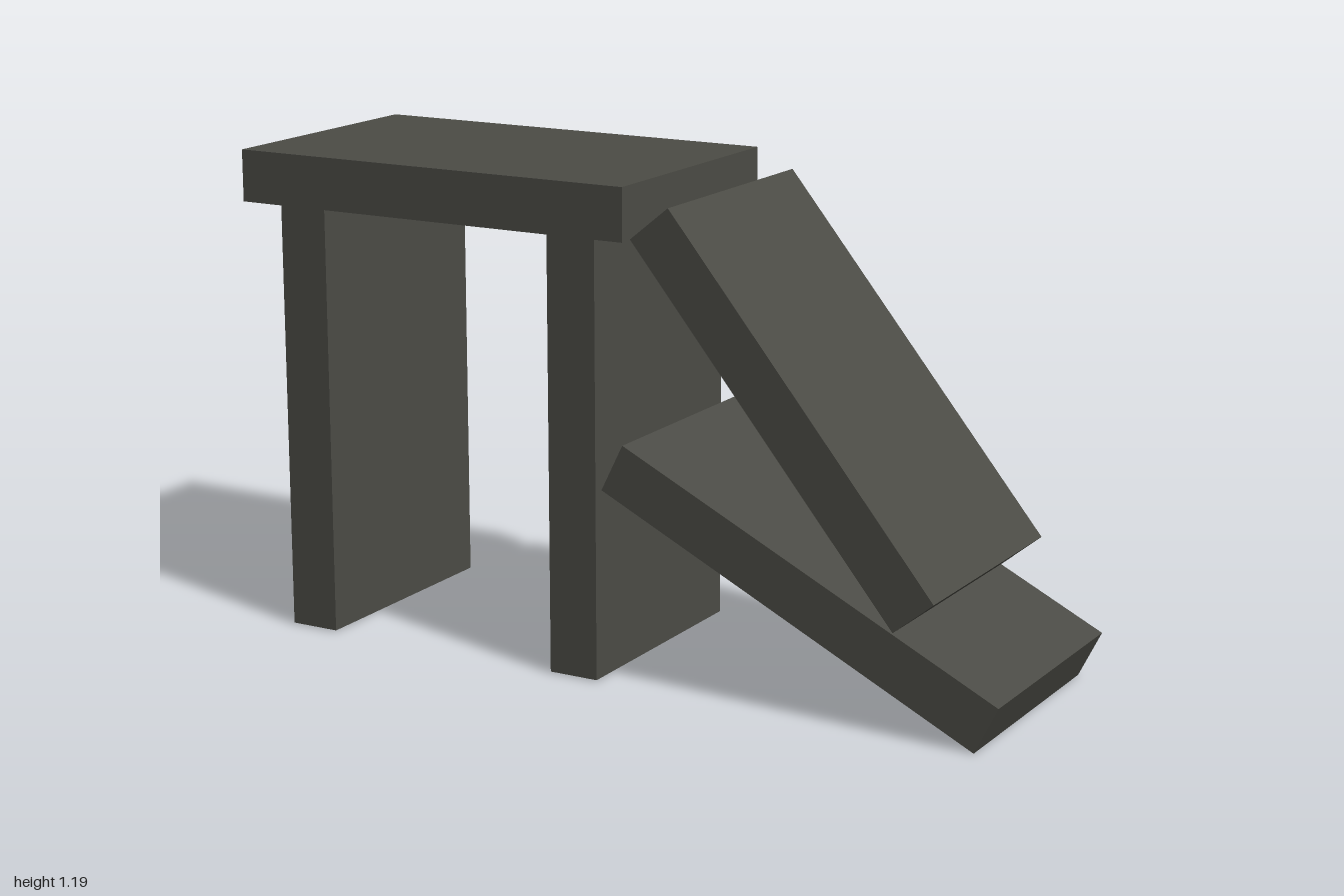
import * as THREE from 'three';

export function createModel() {
  const model = new THREE.Group();
  model.name = 'stoneSlabs';
  const stone = new THREE.MeshStandardMaterial({ color: 0x4b4b45 });
  stone.name = 'dark stone';

  const length = 1.062, thickness = 0.127, depth = 0.606;

  // One slab, centred at (x, y) and turned about z by the given degrees
  function addSlab(name, x, y, degrees, slabDepth = depth) {
    const slab = new THREE.Mesh(new THREE.BoxGeometry(length, thickness, slabDepth), stone);
    slab.name = name;
    slab.position.set(x, y, 0);
    slab.rotation.z = THREE.MathUtils.degToRad(degrees);
    model.add(slab);
  }

  // Standing trilithon: two uprights and a slightly deeper lintel
  addSlab('rightUpright', -0.84, 0.539, 90);
  addSlab('leftUpright', -0.088, 0.539, 90);
  addSlab('lintel', -0.469, 1.132, 0, 0.648);

  // Collapsed slabs: one leaning on the lintel, one fallen beneath it
  addSlab('leaningSlab', 0.455, 0.702, -50.8);
  addSlab('fallenSlab', 0.496, 0.297, -26.3);

  return model;
}
